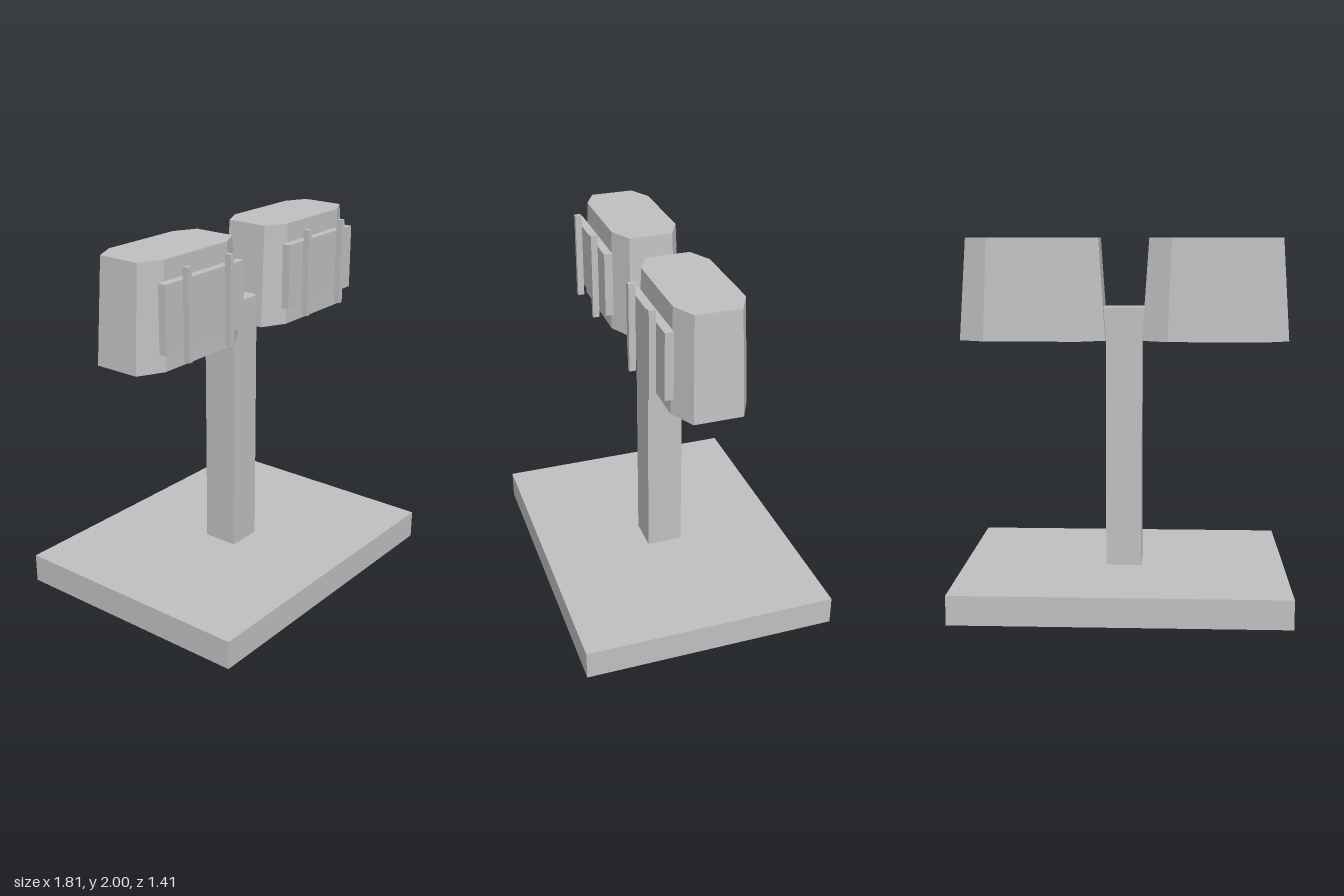
import * as THREE from 'three';

export function createModel() {
  const model = new THREE.Group();
  model.name = 'twinHeadStand';
  const grey = new THREE.MeshStandardMaterial({ color: 0xc0c0c0 });
  grey.name = 'plain grey';

  function add(parent, name, geometry, x = 0, y = 0, z = 0) {
    const mesh = new THREE.Mesh(geometry, grey);
    mesh.name = name;
    mesh.position.set(x, y, z);
    parent.add(mesh);
    return mesh;
  }
  const box = (w, h, d) => new THREE.BoxGeometry(w, h, d);

  // Tapered box with chamfered corners, built from two octagonal rings
  function taperedOctagon(bottom, top, y0, y1) {
    const ring = ({ w, d, cw, cd }, y) =>
      [[w, cd], [cw, d], [-cw, d], [-w, cd], [-w, -cd], [-cw, -d], [cw, -d], [w, -cd]]
        .map(([x, z]) => [x, y, z]);
    const lo = ring(bottom, y0), hi = ring(top, y1), pos = [];
    const tri = (a, b, c) => pos.push(...a, ...b, ...c);
    for (let i = 0; i < 8; i++) {
      const j = (i + 1) % 8;
      tri(lo[i], hi[j], lo[j]);
      tri(lo[i], hi[i], hi[j]);
      tri([0, y1, 0], hi[j], hi[i]);
      tri([0, y0, 0], lo[i], lo[j]);
    }
    const g = new THREE.BufferGeometry();
    g.setAttribute('position', new THREE.Float32BufferAttribute(pos, 3));
    g.computeVertexNormals();
    return g;
  }

  // Base, post and the short arm joining the heads
  add(model, 'base', box(1.81, 0.16, 1.41), 0, 0.08, 0);
  add(model, 'post', box(0.2, 1.46, 0.2), 0, 0.89, 0);
  add(model, 'crossArm', box(0.4, 0.16, 0.16), 0, 1.54, 0);

  // Two heads, each with a front panel and a pair of upright bars
  const headGeometry = taperedOctagon(
    { w: 0.402, d: 0.2, cw: 0.263, cd: 0.13 },
    { w: 0.364, d: 0.183, cw: 0.24, cd: 0.12 }, 1.44, 2);
  for (const side of [-1, 1]) {
    const head = new THREE.Group();
    head.name = side > 0 ? 'leftHead' : 'rightHead';
    head.position.x = side * 0.503;
    add(head, 'headShell', headGeometry);
    add(head, 'frontPanel', box(0.606, 0.36, 0.046), 0, 1.72, 0.221);
    for (const x of [-0.162, 0.162]) {
      add(head, 'panelBar', box(0.027, 0.485, 0.036), x, 1.721, 0.262);
    }
    model.add(head);
  }
  return model;
}
